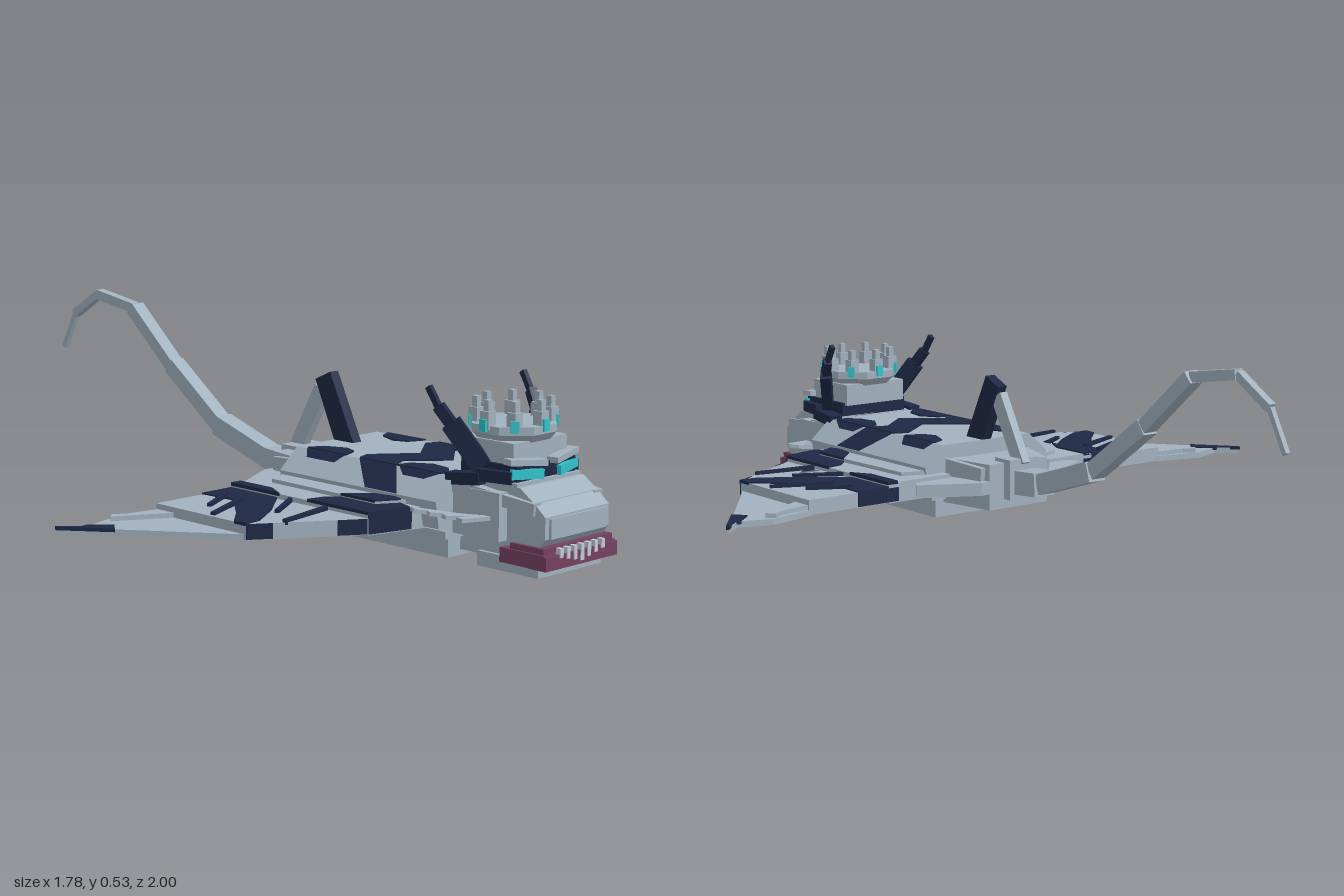
import * as THREE from 'three';

const paint = (name, color) => {
  const m = new THREE.MeshStandardMaterial({ color });
  m.name = name;
  return m;
};

export function createModel() {
  const grey = paint('hull grey', 0xa1b1be);
  const navy = paint('camouflage navy', 0x1e2845);
  const plum = paint('gum plum', 0x74415f);
  const cyan = paint('glow cyan', 0x30c4cc);
  const bone = paint('tooth white', 0xc3cbd2);
  const root = new THREE.Group();
  root.name = 'armouredRay';

  // Faceted mesh from any geometry
  const add = (name, geo, mat) => {
    const g = geo.index ? geo.toNonIndexed() : geo;
    g.computeVertexNormals();
    const mesh = new THREE.Mesh(g, mat);
    mesh.name = name;
    root.add(mesh);
    return mesh;
  };
  // Box from its limits
  const box = (name, mat, x0, x1, y0, y1, z0, z1) => {
    const m = add(name, new THREE.BoxGeometry(Math.abs(x1 - x0), y1 - y0, z1 - z0), mat);
    m.position.set((x0 + x1) / 2, (y0 + y1) / 2, (z0 + z1) / 2);
    return m;
  };
  // Horizontal slab from an outline of [x, z] points
  const slab = (name, mat, pts, y0, y1, side = 1, hole = null) => {
    const v = (list) => list.map(([x, z]) => new THREE.Vector2(x * side, -z));
    const shape = new THREE.Shape(v(pts));
    if (hole) shape.holes.push(new THREE.Path(v(hole)));
    const g = new THREE.ExtrudeGeometry(shape, { depth: y1 - y0, bevelEnabled: false });
    g.rotateX(-Math.PI / 2).translate(0, y0, 0);
    return add(name, g, mat);
  };
  // Slab standing along x from an outline of [z, y] points
  const sideSlab = (name, mat, pts, half) => {
    const shape = new THREE.Shape(pts.map(([z, y]) => new THREE.Vector2(-z, y)));
    const g = new THREE.ExtrudeGeometry(shape, { depth: half * 2, bevelEnabled: false });
    g.translate(0, 0, -half).rotateY(Math.PI / 2);
    return add(name, g, mat);
  };
  // Square bar between two points
  const bar = (name, mat, a, b, w, h) => {
    const A = new THREE.Vector3(...a), B = new THREE.Vector3(...b);
    const m = add(name, new THREE.BoxGeometry(w, h, A.distanceTo(B)), mat);
    m.position.copy(A).add(B).multiplyScalar(0.5);
    m.lookAt(B);
    return m;
  };

  // Hull: chamfered section drawn along z, with keel below
  const half = [[0.15, 0.08], [0.2, 0.095], [0.212, 0.165], [0.15, 0.22]];
  const section = [...half, ...half.map(([x, y]) => [-x, y]).reverse()];
  const hull = new THREE.ExtrudeGeometry(
    new THREE.Shape(section.map(([x, y]) => new THREE.Vector2(x, y))),
    { depth: 0.55, bevelEnabled: false });
  add('hull', hull.translate(0, 0, 0.16), grey);
  box('keel', grey, -0.155, 0.155, 0.015, 0.08, 0.19, 0.7);
  box('keelRail', grey, -0.175, 0.175, 0.065, 0.085, 0.18, 0.71);

  // Camouflage on the hull deck
  slab('deckChevron', navy, [[-0.15, 0.39], [-0.11, 0.375], [0, 0.46], [0.11, 0.375], [0.15, 0.39],
    [0.15, 0.52], [0.1, 0.49], [0, 0.575], [-0.1, 0.49], [-0.15, 0.52]], 0.219, 0.224);

  for (const s of [1, -1]) {
    slab('deckRearPatch', navy, [[0.15, 0.2], [0.11, 0.22], [0.085, 0.28], [0.1, 0.32], [0.15, 0.34]], 0.219, 0.224, s);
    slab('deckFrontPatch', navy, [[0.15, 0.52], [0.11, 0.53], [0.08, 0.58], [0.09, 0.64], [0.12, 0.67], [0.15, 0.67]], 0.219, 0.224, s);
    // Patch lying on the chamfer: z limits at the deck edge, then lower down
    const chamferPatch = (z0, z1, z2, z3, drop) => {
      const g = new THREE.BufferGeometry();
      const a = [s * 0.152, 0.222], b = [s * (0.152 + 0.062 * drop), 0.222 - 0.055 * drop];
      g.setAttribute('position', new THREE.Float32BufferAttribute([...a, z0, ...a, z1, ...b, z2, ...b, z3], 3));
      g.setIndex(s > 0 ? [0, 1, 2, 0, 2, 3] : [0, 2, 1, 0, 3, 2]);
      add('chamferPatch', g, navy);
    };
    chamferPatch(0.39, 0.52, 0.58, 0.47, 1);
    chamferPatch(0.2, 0.34, 0.32, 0.22, 0.35);
    chamferPatch(0.53, 0.67, 0.63, 0.56, 0.3);

    // Wing: three overlapping tiers, stepping down to the tip
    slab('innerWing', grey, [[0.15, 0.13], [0.355, 0.13], [0.355, 0.62], [0.17, 0.665]], 0.09, 0.145, s);
    slab('wingRoot', grey, [[0.19, 0.16], [0.27, 0.19], [0.28, 0.57], [0.19, 0.62]], 0.14, 0.155, s);
    slab('middleWing', grey, [[0.35, 0.13], [0.61, 0.13], [0.61, 0.46], [0.35, 0.625]], 0.092, 0.132, s,
      s > 0 ? [[0.36, 0.445], [0.44, 0.445], [0.36, 0.505]] : null);
    slab('wingTip', grey, [[0.6, 0.13], [0.74, 0.095], [0.83, 0.125], [0.885, 0.08], [0.6, 0.465]], 0.09, 0.106, s);
    slab('tipPatch', navy, [[0.825, 0.118], [0.84, 0.12], [0.888, 0.075], [0.89, 0.085], [0.802, 0.2], [0.775, 0.165]], 0.1, 0.109, s);
    slab('wingTipVane', grey, [[0.58, 0.14], [0.7, 0.12], [0.73, 0.1], [0.75, 0.12], [0.6, 0.2]], 0.1, 0.118, s);

    // Camouflage on the wing top
    slab('bandInner', navy, [[0.325, 0.13], [0.357, 0.13], [0.357, 0.31], [0.325, 0.25]], 0.14, 0.149, s);
    slab('bandOuter', navy, [[0.355, 0.128], [0.455, 0.128], [0.45, 0.24], [0.55, 0.36], [0.613, 0.42],
      [0.613, 0.462], [0.56, 0.455], [0.46, 0.39], [0.355, 0.3]], 0.128, 0.136, s);
    slab('frontPatch', navy, [[0.357, 0.41], [0.31, 0.42], [0.22, 0.51], [0.21, 0.57], [0.24, 0.651], [0.357, 0.622]], 0.141, 0.149, s);
    slab('frontPatchRoot', navy, [[0.28, 0.45], [0.22, 0.51], [0.21, 0.57], [0.22, 0.602], [0.28, 0.57]], 0.152, 0.159, s);
    // Camouflage carried over the wing edges
    bar('frontEdgePatch', navy, [s * 0.235, 0.119, 0.65], [s * 0.355, 0.119, 0.621], 0.006, 0.052);
    bar('middleEdgePatch', navy, [s * 0.358, 0.113, 0.62], [s * 0.42, 0.113, 0.581], 0.006, 0.038);
    bar('outerEdgePatch', navy, [s * 0.555, 0.113, 0.495], [s * 0.61, 0.113, 0.46], 0.006, 0.038);
    box('rearEdgePatch', navy, s * 0.325, s * 0.455, 0.094, 0.131, 0.126, 0.132);
    // Ribs on the wing
    for (const [x0, z0, x1, z1] of [[0.34, 0.34, 0.47, 0.42], [0.36, 0.48, 0.53, 0.51], [0.43, 0.19, 0.54, 0.25], [0.44, 0.26, 0.6, 0.33]])
      bar('wingRib', navy, [s * x0, 0.136, z0], [s * x1, 0.133, z1], 0.012, 0.014);

    // Gill fan beside the neck
    for (let i = 0; i < 4; i++)
      bar('gillPlank', grey, [s * 0.13, 0.122 + i * 0.004, 0.78 + i * 0.015],
        [s * (0.28 - i * 0.018), 0.155 - i * 0.006, 0.695 + i * 0.035], 0.026, 0.01);

    // Swept plates at the stern
    slab('sternPlate', grey, [[0.1, 0.2], [0.22, 0.2], [0.285, 0.1], [0.13, 0.015], [0.05, 0.03]], 0.1, 0.135, s);
    bar('sternStrut', grey, [s * 0.12, 0.16, 0.2], [s * 0.09, 0.145, 0.04], 0.06, 0.05);

    // Face and horns
    box('cheek', grey, s * 0.1, s * 0.15, 0.08, 0.2, 0.69, 0.86);
    bar('cheekRidge', grey, [s * 0.14, 0.2, 0.7], [s * 0.115, 0.17, 0.95], 0.03, 0.03);
    bar('eye', cyan, [s * 0.03, 0.238, 0.895], [s * 0.122, 0.244, 0.872], 0.012, 0.024);
    bar('eyeCorner', navy, [s * 0.118, 0.235, 0.874], [s * 0.138, 0.235, 0.78], 0.02, 0.03);
    bar('brow', grey, [s * 0.015, 0.264, 0.887], [s * 0.125, 0.274, 0.862], 0.03, 0.015);
    box('lipSide', plum, s * 0.09, s * 0.135, 0.028, 0.065, 0.85, 0.99);
    bar('hornBase', navy, [s * 0.112, 0.25, 0.77], [s * 0.16, 0.355, 0.71], 0.03, 0.05);
    bar('hornMiddle', navy, [s * 0.155, 0.34, 0.72], [s * 0.173, 0.395, 0.68], 0.022, 0.028);
    bar('hornTip', navy, [s * 0.172, 0.385, 0.685], [s * 0.176, 0.44, 0.65], 0.013, 0.016);
    bar('neckPatch', navy, [s * 0.14, 0.215, 0.69], [s * 0.13, 0.225, 0.79], 0.04, 0.03);
  }

  // Head and jaws
  sideSlab('head', grey, [[0.69, 0.075], [0.96, 0.075], [0.98, 0.1], [0.98, 0.155], [0.95, 0.18], [0.9, 0.215], [0.69, 0.222]], 0.12);
  box('snoutPlate', grey, -0.105, 0.105, 0.1, 0.15, 0.97, 0.987);
  box('headBand', grey, -0.128, 0.128, 0.165, 0.185, 0.72, 0.945);
  box('upperGum', plum, -0.13, 0.13, 0.05, 0.08, 0.88, 0.985);
  box('lowerLip', plum, -0.135, 0.135, 0.027, 0.062, 0.94, 0.997);
  box('lowerJaw', grey, -0.12, 0.12, 0.002, 0.04, 0.765, 0.96);
  box('throat', grey, -0.11, 0.11, 0.03, 0.08, 0.69, 0.87);
  for (let i = 0; i < 7; i++)
    box('tooth', bone, -0.085 + i * 0.026, -0.073 + i * 0.026, 0.036 + 0.006 * Math.abs(i - 3), 0.077, 0.98, 1.0);

  // Tower on the head
  box('neckCollar', navy, -0.11, 0.11, 0.215, 0.262, 0.7, 0.88);
  box('facePlate', grey, -0.12, 0.12, 0.205, 0.224, 0.7, 0.89);
  box('towerBlock', grey, -0.1, 0.1, 0.255, 0.315, 0.69, 0.86);
  const crown = (name, r0, r1, y0, y1) => {
    const m = add(name, new THREE.CylinderGeometry(r1, r0, y1 - y0, 8).rotateY(Math.PI / 8), grey);
    m.position.set(0, (y0 + y1) / 2, 0.772);
  };
  crown('crownBase', 0.095, 0.112, 0.31, 0.33);
  crown('crownRim', 0.112, 0.112, 0.33, 0.35);
  for (let i = 0; i < 8; i++) {
    const a = i * Math.PI / 4;
    const x = Math.sin(a) * 0.095, z = 0.772 + Math.cos(a) * 0.088;
    box('crownPost', grey, x - 0.014, x + 0.014, 0.34, 0.385, z - 0.014, z + 0.014);
    box('crownSpike', grey, x - 0.008, x + 0.008, 0.38, 0.412, z - 0.008, z + 0.008);
    const gem = box('crownGem', cyan, -0.01, 0.01, 0.336, 0.366, -0.004, 0.004);
    gem.position.set(x * 1.18, 0.351, 0.772 + (z - 0.772) * 1.18);
    gem.rotation.y = a;
  }

  // Stern block and dorsal fin
  slab('sternBlock', grey, [[-0.13, 0.2], [-0.1, 0.02], [0.1, 0.02], [0.13, 0.2]], 0.055, 0.18);
  box('tailSocket', grey, -0.05, 0.05, 0.08, 0.19, -0.005, 0.06);
  sideSlab('dorsalFin', navy, [[0.235, 0.215], [0.145, 0.4], [0.09, 0.375], [0.17, 0.2]], 0.015);
  bar('dorsalBrace', grey, [0, 0.35, 0.105], [0, 0.17, 0.005], 0.024, 0.045);

  // Jointed tail: z, y, width, thickness
  const tail = [[0.03, 0.125, 0.07, 0.065], [-0.09, 0.133, 0.055, 0.055], [-0.3, 0.2, 0.045, 0.045], [-0.5, 0.345, 0.042, 0.036],
    [-0.67, 0.493, 0.028, 0.027], [-0.83, 0.518, 0.022, 0.022], [-0.94, 0.45, 0.014, 0.014], [-0.995, 0.345, 0, 0]];
  for (let i = 0; i < tail.length - 1; i++) {
    const [z, y, w, h] = tail[i], [z2, y2] = tail[i + 1];
    bar('tailSegment', grey, [0, y, z], [0, y2, z2], w, h);
  }
  return root;
}
